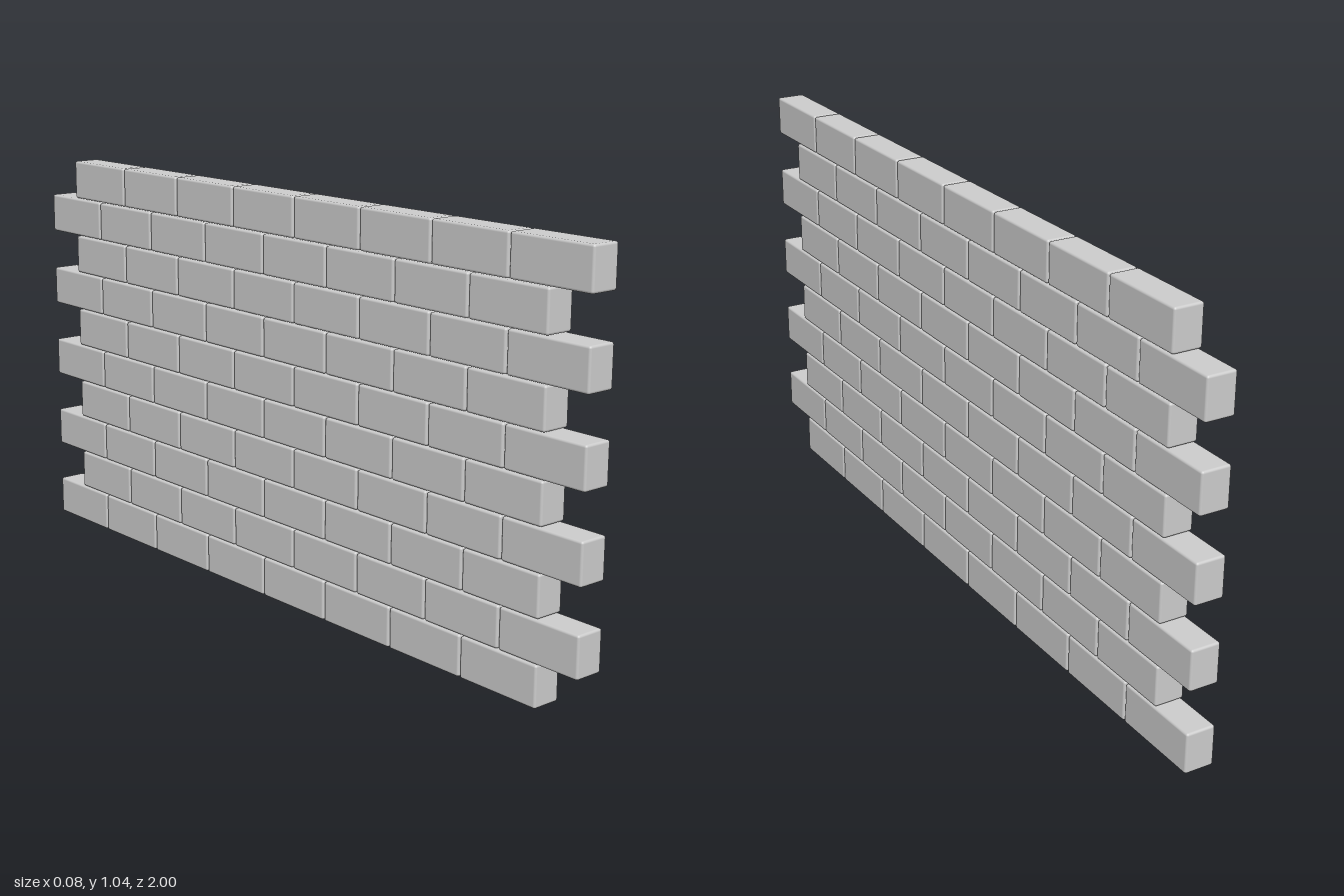
import * as THREE from 'three';
import { RoundedBoxGeometry } from 'three/addons/geometries/RoundedBoxGeometry.js';

const ROWS = 10, PER_ROW = 8;
const THICK = 0.075, HEIGHT = 0.102, LENGTH = 0.232;
const PITCH_Y = 0.104, PITCH_Z = 0.2358;

export function createModel() {
  const wall = new THREE.Group();
  wall.name = 'brickWall';
  const material = new THREE.MeshStandardMaterial({ color: 0xcccccc });
  // One softly bevelled brick shared by every course
  const brickGeometry = new RoundedBoxGeometry(THICK, HEIGHT, LENGTH, 2, 0.006);

  // Running bond: alternate courses reach the back and front ends
  for (let row = 0; row < ROWS; row++) {
    const course = new THREE.Group();
    course.name = `course${row + 1}`;
    course.position.y = HEIGHT / 2 + row * PITCH_Y;
    const end = row % 2 ? 1 : -1;
    for (let i = 0; i < PER_ROW; i++) {
      const brick = new THREE.Mesh(brickGeometry, material);
      brick.name = `brick${i + 1}`;
      brick.position.z = end * (1 - LENGTH / 2 - i * PITCH_Z);
      course.add(brick);
    }
    wall.add(course);
  }
  return wall;
}
